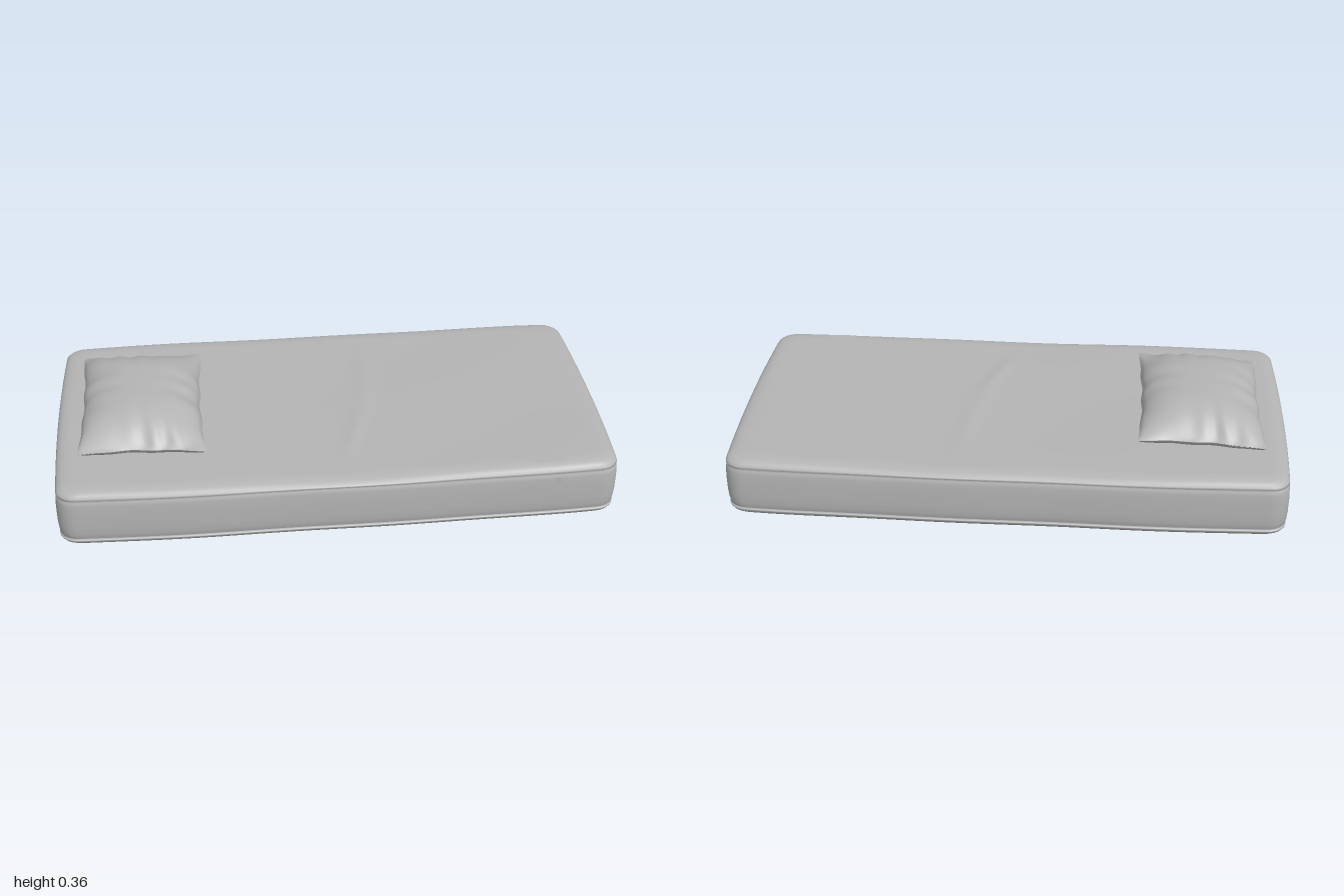
import * as THREE from 'three';

const HX = 1, HZ = 0.508;

// Gentle ripples, a dip in the middle and one diagonal crease on the top face
function topRelief(x, z) {
  const crease = Math.exp(-(((x - 0.13 + 0.28 * z * z + 0.2 * z) / 0.03) ** 2)) * Math.exp(-((z / 0.33) ** 4));
  return -0.004 * Math.cos(Math.PI * x) + 0.005 * crease
    + 0.0015 * Math.sin(7 * x + 3 * z) * Math.cos(6 * z - 2 * x);
}

// Sides swell slightly between the corners
function swell(x, y, z) {
  return [x * (1 - 0.015 * (z / HZ) ** 2), y, z * (1 - 0.03 * x ** 4 + 0.003 * Math.sin(9 * x))];
}

function roundedOutline(count) {
  const r = 0.06, s = new THREE.Shape();
  s.absarc(HX - r, HZ - r, r, 0, Math.PI / 2);
  s.absarc(-HX + r, HZ - r, r, Math.PI / 2, Math.PI);
  s.absarc(-HX + r, -HZ + r, r, Math.PI, Math.PI * 1.5);
  s.absarc(HX - r, -HZ + r, r, Math.PI * 1.5, Math.PI * 2);
  s.closePath();
  return s.getSpacedPoints(count).slice(0, count);
}

// Mattress shell: stacked outlines running from bottom centre to top centre
function mattressGeometry() {
  const N = 320, CAP = 32, outline = roundedOutline(N), rings = [];
  const profile = [
    [0.06, 0.002], [0.035, 0.005], [0.018, 0.012], [0.008, 0.021], [0.003, 0.03],
    [0.003, 0.034], [0.009, 0.037], [0.005, 0.041], [0.002, 0.06], [0, 0.09], [0, 0.15],
    [0.002, 0.18], [0.004, 0.195], [0.009, 0.199], [0.003, 0.202], [0.005, 0.209],
    [0.012, 0.216], [0.025, 0.222], [0.042, 0.225], [0.06, 0.227],
  ];
  const ring = (inset, y, t = 1) => rings.push({ sx: (1 - inset / HX) * t, sz: (1 - inset / HZ) * t, y });
  for (let i = 0; i < 6; i++) ring(0.06, 0.001, i / 6);
  profile.forEach(([inset, y]) => ring(inset, y));
  for (let i = CAP - 1; i >= 0; i--) ring(0.06, 0.227, i / CAP);

  const pos = [], index = [];
  rings.forEach(({ sx, sz, y }, i) => {
    outline.forEach((p, j) => {
      const x = p.x * sx, z = -p.y * sz;
      const w = THREE.MathUtils.smoothstep(y, 0.195, 0.226);
      pos.push(...swell(x, y + w * topRelief(x, z), z));
      if (i + 1 < rings.length) {
        const a = i * N + j, b = i * N + (j + 1) % N;
        index.push(a, b, b + N, a, b + N, a + N);
      }
    });
  });
  const g = new THREE.BufferGeometry();
  g.setAttribute('position', new THREE.Float32BufferAttribute(pos, 3));
  g.setIndex(index);
  g.computeVertexNormals();
  return g;
}

// One half of the pillow: side 1 is the plump top, -1 the flattened underside
function pillowGeometry(side) {
  const g = new THREE.PlaneGeometry(2, 2, 64, 80), p = g.attributes.position;
  for (let i = 0; i < p.count; i++) {
    const u = p.getX(i), v = p.getY(i), au = Math.abs(u), av = Math.abs(v);
    const fu = Math.max(0, 1 - au ** 2.5) ** 0.6, fv = Math.max(0, 1 - av ** 4) ** 1.15;
    const f = fu * fv;
    // folds gather along the seams and fade toward the middle
    const folds = 0.010 * Math.sin(13 * v + 2 * Math.sin(4 * v) + 2 * u) * au ** 2 * fu
      + 0.012 * Math.sin(11 * u + 3 * Math.sin(3 * u + v)) * av ** 3 * Math.sqrt(fv);
    const x = 0.225 * u * (1 - 0.06 * (1 - v * v) + 0.012 * Math.sin(12 * v) * (1 - v * v));
    const z = -0.325 * v * (1 - 0.06 * (1 - u * u) + 0.01 * Math.sin(9 * u) * (1 - u * u)) + 0.012 * u;
    const y = side > 0 ? 0.089 * f + folds * (1 - 0.5 * f) : -0.044 * f ** 0.4;
    p.setXYZ(i, x, y, z);
  }
  if (side < 0) {
    const id = g.index.array;
    for (let i = 0; i < id.length; i += 3) [id[i], id[i + 1]] = [id[i + 1], id[i]];
  }
  g.computeVertexNormals();
  return g;
}

// Jagged thin patch lying just above a face of the mattress
function tearGeometry(face, u, v, w, h, seed) {
  const s = new THREE.Shape(), n = 16;
  for (let i = 0; i < n; i++) {
    const a = i / n * Math.PI * 2;
    const k = 0.5 * (0.82 + 0.18 * Math.sin(i * 2.4 + seed * 1.7) * Math.cos(i * 4.1 + seed));
    s[i ? 'lineTo' : 'moveTo'](u + Math.cos(a) * w * k, v + Math.sin(a) * h * k);
  }
  const g = new THREE.ShapeGeometry(s), p = g.attributes.position, off = 0.003;
  const place = {
    top: (a, b) => [a, 0.229 + topRelief(a, -b), -b],
    front: (a, b) => [a, b, HZ + off],
    back: (a, b) => [-a, b, -HZ - off],
    right: (a, b) => [HX + off, b, -a],
  }[face];
  for (let i = 0; i < p.count; i++) p.setXYZ(i, ...swell(...place(p.getX(i), p.getY(i))));
  g.computeVertexNormals();
  return g;
}

export function createModel() {
  const fabric = new THREE.MeshStandardMaterial({ color: 0xb4b4b4 });
  fabric.name = 'grey fabric';
  const model = new THREE.Group();
  model.name = 'mattressWithPillow';
  const add = (parent, geometry, name) => {
    const m = new THREE.Mesh(geometry, fabric);
    m.name = name;
    parent.add(m);
    return m;
  };

  add(model, mattressGeometry(), 'mattress');

  // Pillow near one end
  const pillow = new THREE.Group();
  pillow.name = 'pillow';
  pillow.position.set(-0.685, 0.27, 0);
  add(pillow, pillowGeometry(1), 'pillowTop');
  add(pillow, pillowGeometry(-1), 'pillowUnderside');
  model.add(pillow);

  // Worn spots: face, position across, position up, width, height
  const tears = [
    ['top', 0.01, 0.37, 0.07, 0.12], ['top', 0.02, -0.35, 0.025, 0.12], ['top', 0.74, -0.455, 0.15, 0.04],
    ['top', 0.53, -0.31, 0.05, 0.03], ['top', 0.61, 0.12, 0.04, 0.02], ['top', 0.79, -0.22, 0.06, 0.015],
    ['front', -0.38, 0.11, 0.06, 0.08], ['front', 0.3, 0.11, 0.06, 0.06], ['front', 0.77, 0.175, 0.04, 0.04],
    ['right', -0.235, 0.12, 0.09, 0.07], ['right', 0.32, 0.12, 0.07, 0.05], ['right', -0.16, 0.155, 0.03, 0.012],
    ['right', 0.21, 0.145, 0.03, 0.012],
    ['back', -0.57, 0.12, 0.1, 0.05], ['back', -0.35, 0.11, 0.08, 0.025],
  ];
  const worn = new THREE.Group();
  worn.name = 'wornPatches';
  tears.forEach((t, i) => add(worn, tearGeometry(...t, i), 'tear'));
  model.add(worn);
  return model;
}
